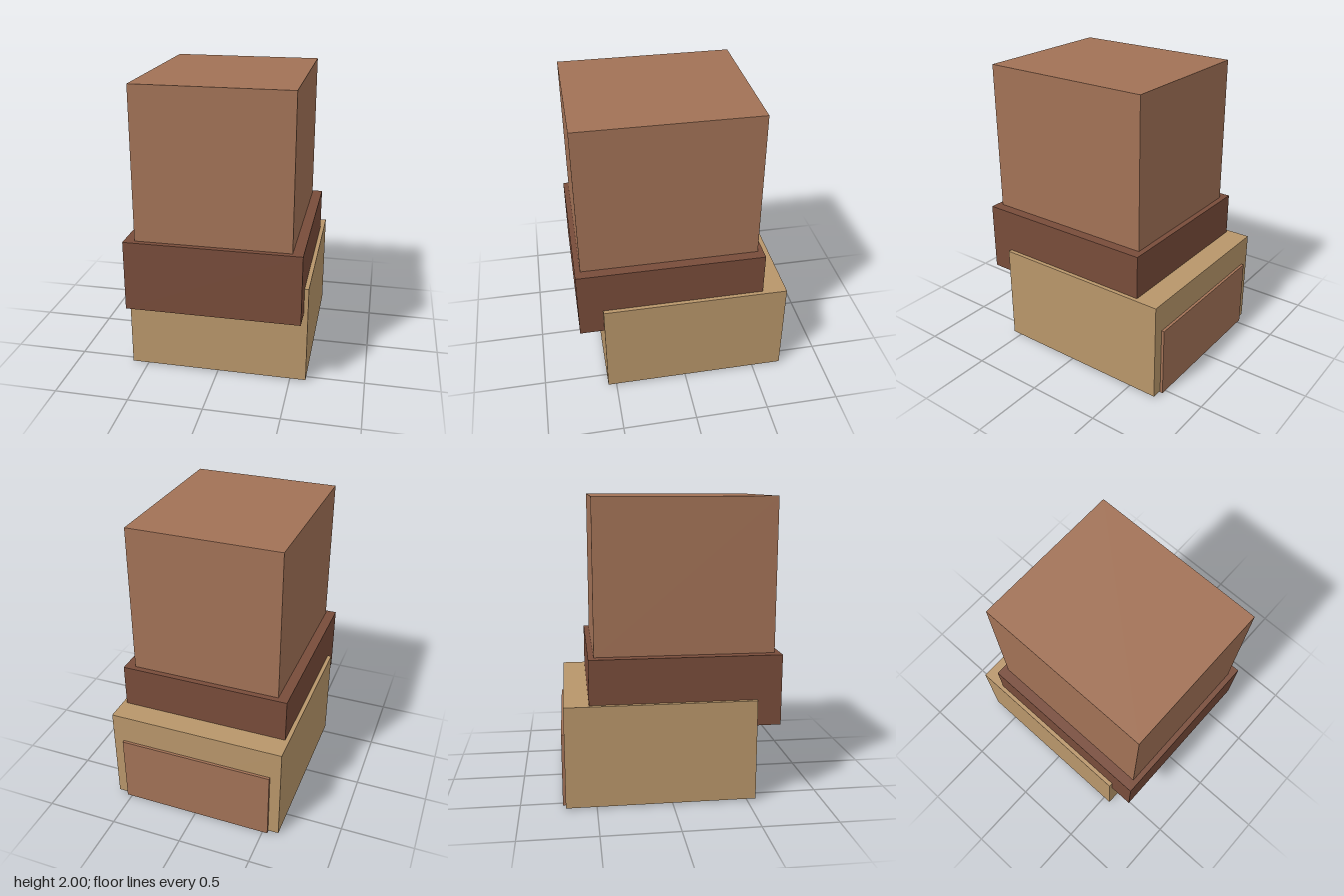
import * as THREE from 'three';

const material = (name, color) => {
  const m = new THREE.MeshStandardMaterial({ color });
  m.name = name;
  return m;
};

export function createModel() {
  const model = new THREE.Group();
  model.name = 'stackedBlocks';
  const brown = material('warm brown', 0xa27256);
  const darkBrown = material('dark brown', 0x784c3a);
  const tan = material('tan', 0xb8966a);

  // Box centred on x, spanning the given y and z ranges
  const block = (name, mat, halfWidth, [y0, y1], [z0, z1]) => {
    const mesh = new THREE.Mesh(new THREE.BoxGeometry(halfWidth * 2, y1 - y0, z1 - z0), mat);
    mesh.position.set(0, (y0 + y1) / 2, (z0 + z1) / 2);
    mesh.name = name;
    model.add(mesh);
  };

  block('upperBlock', brown, 0.511, [0.985, 2], [-0.502, 0.685]);
  block('middleBand', darkBrown, 0.58, [0.513, 0.987], [-0.54, 0.722]);
  block('baseBlock', tan, 0.608, [0.01, 0.69], [-0.703, 0.558]);
  // Slab set into the back of the base, slightly proud behind and below
  block('backSlab', brown, 0.535, [0, 0.488], [-0.722, -0.463]);

  return model;
}
